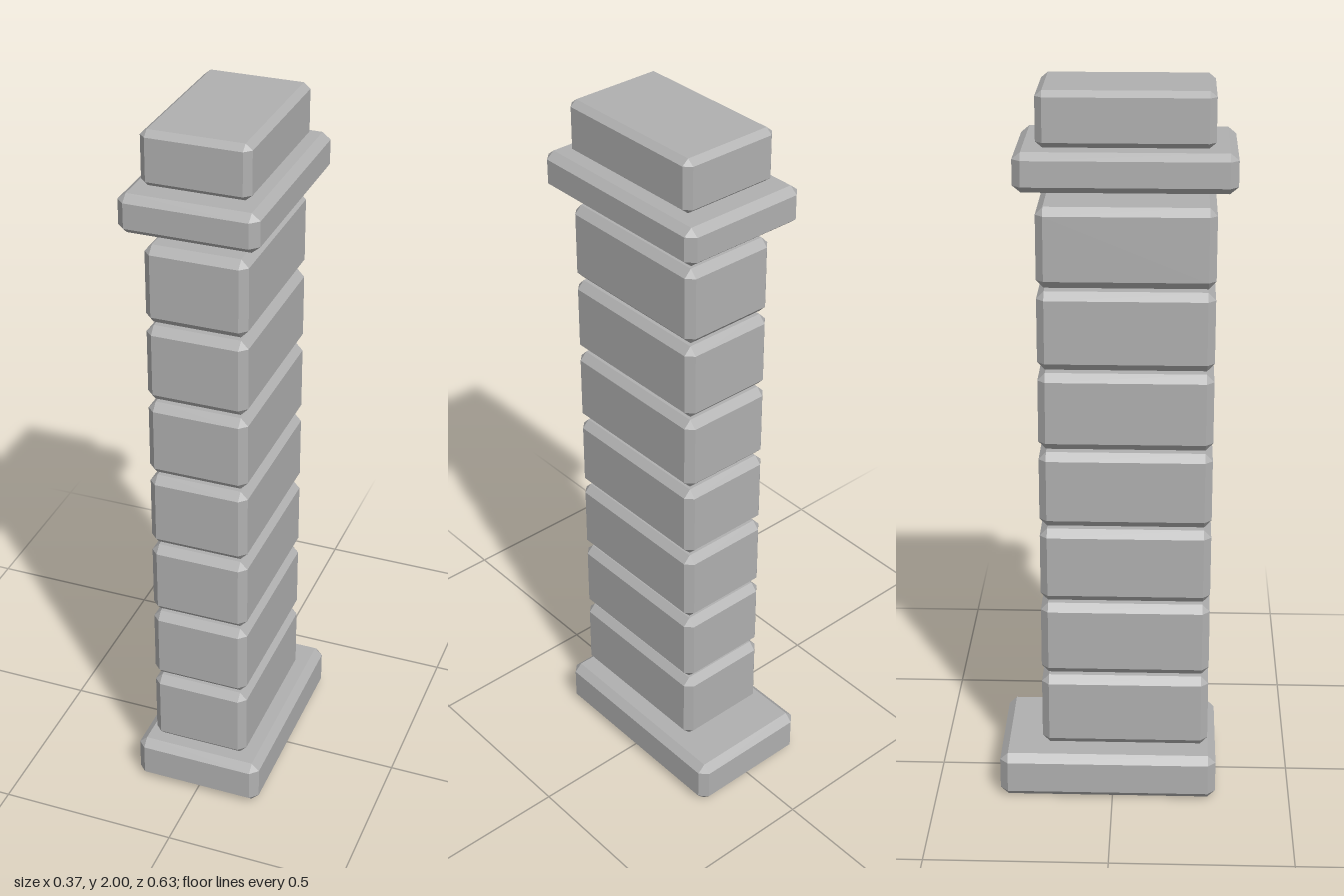
import * as THREE from 'three';
import { ConvexGeometry } from 'three/addons/geometries/ConvexGeometry.js';

// Box with every edge bevelled: each face is an inset rectangle joined by chamfers.
function chamferedBox(w, h, d, c, cy) {
  const points = [];
  for (const sx of [-1, 1]) for (const sy of [-1, 1]) for (const sz of [-1, 1]) {
    const x = w / 2, y = h / 2, z = d / 2;
    points.push(
      new THREE.Vector3(sx * x, sy * (y - cy), sz * (z - c)),
      new THREE.Vector3(sx * (x - c), sy * y, sz * (z - c)),
      new THREE.Vector3(sx * (x - c), sy * (y - cy), sz * z)
    );
  }
  return new ConvexGeometry(points);
}

export function createModel() {
  const group = new THREE.Group();
  const stone = new THREE.MeshStandardMaterial({ color: 0xb0b0b0 });
  stone.name = 'stone grey';

  // Places a stone by its half width and its y and z extents.
  function addStone(name, halfWidth, y0, y1, z0, z1, c, cy) {
    const mesh = new THREE.Mesh(chamferedBox(halfWidth * 2, y1 - y0, z1 - z0, c, cy), stone);
    mesh.name = name;
    mesh.position.set(0, (y0 + y1) / 2, (z0 + z1) / 2);
    group.add(mesh);
  }

  // Foot of the pillar, reaching further back
  addStone('base', 0.183, 0, 0.132, -0.318, 0.291, 0.022, 0.021);

  // Seven loose blocks with narrow gaps between them
  for (let i = 0; i < 7; i++) {
    const y = 0.147 + i * 0.2235;
    addStone(`shaftBlock${i + 1}`, 0.137, y, y + 0.214, -0.199, 0.267, 0.02, 0.021);
  }

  // Overhanging slab and the block on top of it
  addStone('capSlab', 0.183, 1.749, 1.852, -0.252, 0.317, 0.022, 0.018);
  addStone('topBlock', 0.143, 1.856, 2, -0.195, 0.26, 0.018, 0.015);

  return group;
}
